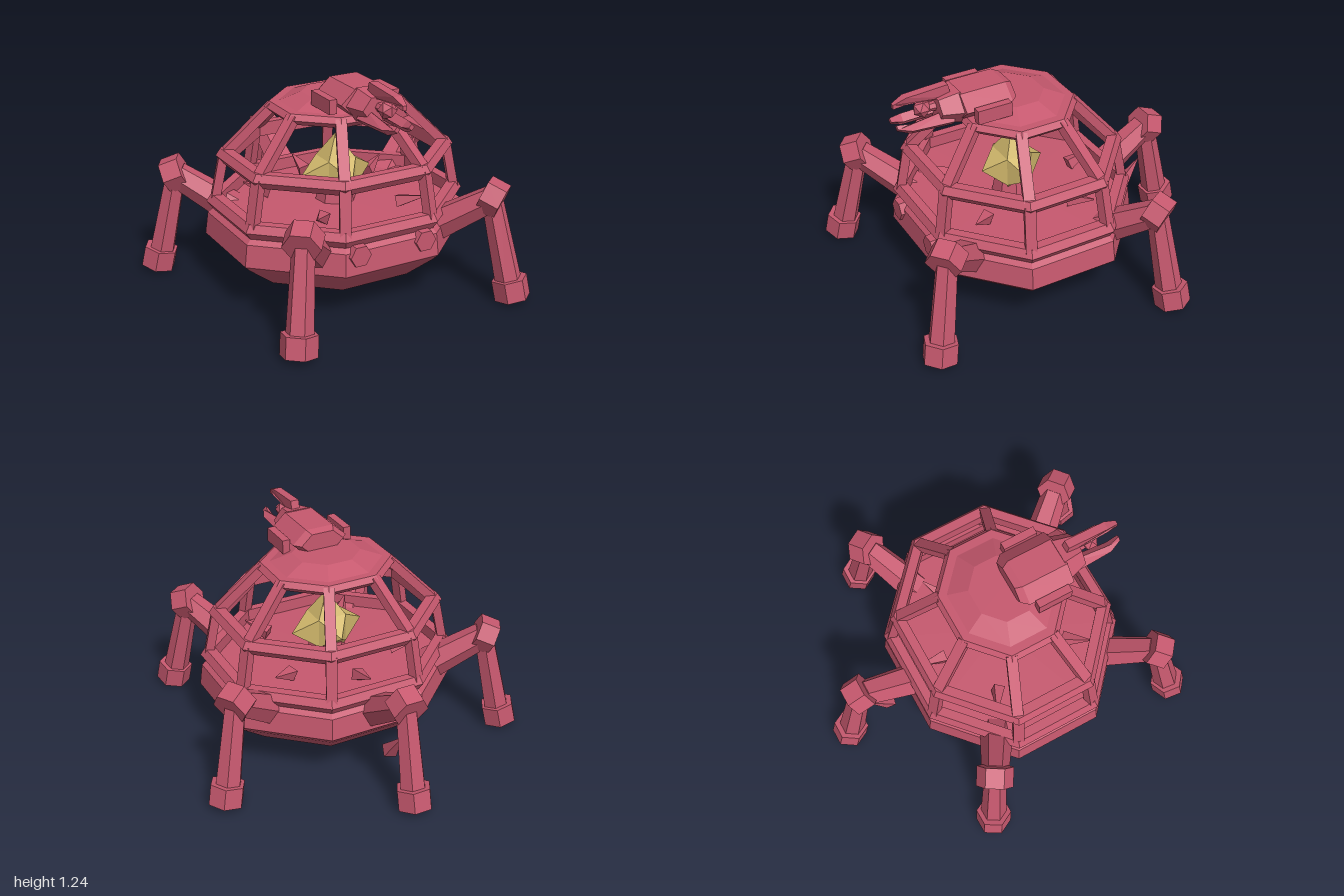
import * as THREE from 'three';

const red = new THREE.MeshStandardMaterial({ color: 0xc6586e, flatShading: true });
red.name = 'dusty red';
const gold = new THREE.MeshStandardMaterial({ color: 0xd2b96c, flatShading: true });
gold.name = 'pale gold';

const CZ = 0.11;      // body centre in z
const SQUASH = 0.9;   // body is a little shorter than wide
const COS8 = Math.cos(Math.PI / 8);
const V = (x, y, z) => new THREE.Vector3(x, y, z);
const UP = V(0, 1, 0);

function add(parent, name, geometry, material = red) {
  const mesh = new THREE.Mesh(geometry, material);
  mesh.name = name;
  parent.add(mesh);
  return mesh;
}

// Octagonal solid or ring; profile given as [apothem, y], bottom to top
function octagon(parent, name, profile) {
  const points = profile.map(([a, y]) => new THREE.Vector2(a / COS8, y));
  const mesh = add(parent, name, new THREE.LatheGeometry(points, 8, Math.PI / 8));
  mesh.scale.z = SQUASH;
  mesh.position.z = CZ;
  return mesh;
}

// Corner i of the octagon with the given apothem
function corner(i, a, y) {
  const t = (i + 0.5) * Math.PI / 4, r = a / COS8;
  return V(Math.sin(t) * r, y, Math.cos(t) * r * SQUASH + CZ);
}

// Square bar between two points, one face turned outwards
function bar(parent, name, p, q, width, depth) {
  const mesh = add(parent, name, new THREE.BoxGeometry(width, depth, p.distanceTo(q)));
  mesh.position.copy(p).lerp(q, 0.5);
  mesh.up.set(mesh.position.x, 0, mesh.position.z - CZ).normalize();
  mesh.lookAt(q);
  return mesh;
}

// Hexagonal prism or cone from p to q, corners to the sides
function prism(parent, name, p, q, r0, r1, sides = 6) {
  const g = new THREE.CylinderGeometry(r1, r0, p.distanceTo(q), sides);
  g.rotateY(Math.PI / 6);
  const mesh = add(parent, name, g);
  mesh.position.copy(p).lerp(q, 0.5);
  mesh.quaternion.setFromUnitVectors(UP, q.clone().sub(p).normalize());
  return mesh;
}

function buildCage(model) {
  const cage = new THREE.Group();
  cage.name = 'canopyFrame';
  const ring = (name, a, y, h) => octagon(cage, name, [
    [a - 0.08, y], [a - 0.03, y], [a, y + h * 0.5], [a - 0.025, y + h], [a - 0.08, y + h], [a - 0.08, y]]);
  ring('lowerRing', 0.68, 0.435, 0.085);
  ring('middleRing', 0.625, 0.705, 0.08);
  ring('upperRing', 0.37, 0.985, 0.06);
  for (let i = 0; i < 8; i++) {
    bar(cage, 'lowerPost', corner(i, 0.635, 0.48), corner(i, 0.585, 0.75), 0.06, 0.05);
    bar(cage, 'upperPost', corner(i, 0.575, 0.76), corner(i, 0.33, 1.02), 0.06, 0.05);
  }
  model.add(cage);
}

// Block with a four-sided spike on every face
function buildCrystal(model) {
  const h = [0.085, 0.085, 0.075], tips = [0.22, 0.225, 0.19], pos = [];
  for (let axis = 0; axis < 3; axis++) for (const s of [1, -1]) {
    const u = (axis + 1) % 3, v = (axis + 2) % 3;
    const tip = [0, 0, 0];
    tip[axis] = s * tips[axis];
    const ringPts = [[1, 1], [-1, 1], [-1, -1], [1, -1]].map(([a, b]) => {
      const p = [0, 0, 0];
      p[axis] = s * h[axis]; p[u] = a * h[u]; p[v] = b * h[v];
      return p;
    });
    for (let k = 0; k < 4; k++) {
      const a = ringPts[k], b = ringPts[(k + 1) % 4];
      pos.push(...(s > 0 ? [...a, ...b, ...tip] : [...b, ...a, ...tip]));
    }
  }
  const g = new THREE.BufferGeometry();
  g.setAttribute('position', new THREE.Float32BufferAttribute(pos, 3));
  g.computeVertexNormals();
  add(model, 'crystal', g, gold).position.set(0, 0.62, CZ);
  prism(model, 'crystalStand', V(0, 0.44, CZ), V(0, 0.54, CZ), 0.12, 0.1, 8);
}

// Leg built outwards along local z, then turned to its heading
function buildLeg(model, name, heading, reach) {
  const leg = new THREE.Group();
  leg.name = name;
  prism(leg, 'thigh', V(0, 0.34, 0.52), V(0, 0.58, 0.89), 0.1, 0.075);
  prism(leg, 'knee', V(0, 0.612, 0.852), V(0, 0.57, 0.955), 0.102, 0.102);
  prism(leg, 'shin', V(0, 0.58, 0.9), V(0, 0.1, reach - 0.015), 0.06, 0.075);
  prism(leg, 'foot', V(0, 0.135, reach - 0.015), V(0, 0.02, reach + 0.01), 0.1, 0.1);
  prism(leg, 'innerSpike', V(0, 0.49, 0.37), V(0, 0.54, 0.52), 0.045, 0.005, 4);
  leg.position.z = CZ;
  leg.rotation.y = heading;
  model.add(leg);
  return leg;
}

function buildTurret(model) {
  const turret = new THREE.Group();
  turret.name = 'turret';
  octagon(turret, 'turretBase', [[0, 1.02], [0.31, 1.025], [0.31, 1.04], [0.18, 1.09], [0, 1.09]]);
  const head = prism(turret, 'turretHead', V(0, 1.125, 0.19), V(0, 1.125, 0.46), 0.165, 0.165);
  head.scale.z = 0.53;
  const back = prism(turret, 'turretHeadBack', V(0, 1.125, 0.15), V(0, 1.125, 0.19), 0.13, 0.165);
  back.scale.z = 0.53;
  const collar = prism(turret, 'clawCollar', V(0, 1.115, 0.45), V(0, 1.115, 0.57), 0.14, 0.1);
  collar.scale.z = 0.75;
  for (const s of [1, -1]) {
    add(turret, 'turretEar', new THREE.BoxGeometry(0.045, 0.08, 0.2)).position.set(s * 0.19, 1.11, 0.32);
  }
  // Three tapered prongs around the emitter
  const blade = new THREE.Shape([[0.48, 0.04], [0.74, 0.065], [0.81, 0.05], [0.81, 0.075], [0.74, 0.105], [0.5, 0.118]]
    .map(([z, r]) => new THREE.Vector2(z, r)));
  const g = new THREE.ExtrudeGeometry(blade, { depth: 0.05, bevelEnabled: false });
  g.translate(0, 0, -0.025);
  g.rotateY(-Math.PI / 2);
  const p = g.attributes.position;
  for (let i = 0; i < p.count; i++) if (p.getZ(i) > 0.78) p.setX(i, p.getX(i) * 0.5);
  for (const angle of [0, 0.75, -0.75].map((a, i) => (i ? Math.sign(a) * (Math.PI - 0.75) : 0))) {
    const claw = add(turret, 'claw', g);
    claw.position.y = 1.125;
    claw.rotation.z = angle;
  }
  prism(turret, 'emitterRod', V(0, 1.125, 0.55), V(0, 1.125, 0.64), 0.03, 0.02);
  add(turret, 'emitter', new THREE.IcosahedronGeometry(0.052, 0)).position.set(0, 1.13, 0.645);
  model.add(turret);
}

export function createModel() {
  const model = new THREE.Group();
  model.name = 'walker';

  octagon(model, 'hull', [[0, 0.085], [0.25, 0.09], [0.49, 0.115], [0.655, 0.25], [0.69, 0.285],
    [0.675, 0.41], [0.63, 0.45], [0, 0.46]]);
  buildCage(model);
  buildCrystal(model);

  // Headlights
  for (const s of [1, -1]) {
    prism(model, 'headlight', V(s * 0.2, 0.39, 0.66), V(s * 0.2, 0.39, 0.74), 0.068, 0.062);
  }

  // Legs: two in front, two at the sides, one behind
  for (const s of [1, -1]) {
    buildLeg(model, 'frontLeg', s * 0.69, 1.03);
    buildLeg(model, 'sideLeg', s * 2.11, 1.015);
  }
  const rear = buildLeg(model, 'rearLeg', Math.PI, 1.015);
  prism(rear, 'rearSpike', V(0, 0.205, 0.74), V(0, 0.36, 0.865), 0.05, 0.004, 4);

  buildTurret(model);
  return model;
}
